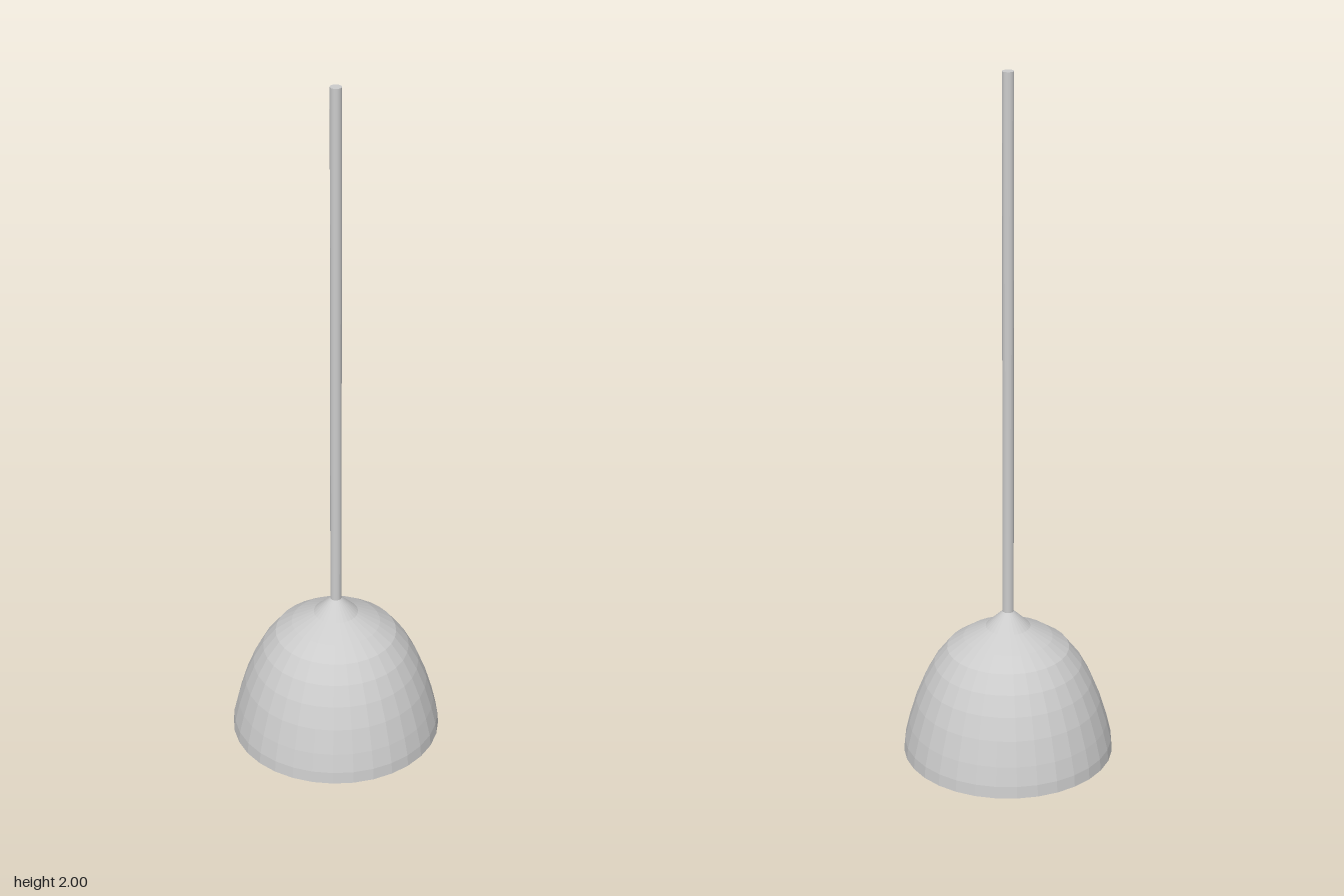
import * as THREE from 'three';

export function createModel() {
  const group = new THREE.Group();
  const material = new THREE.MeshStandardMaterial({
    color: 0xcccccc, flatShading: true, side: THREE.DoubleSide,
  });
  const add = (name, geometry) => {
    const mesh = new THREE.Mesh(geometry, material);
    mesh.name = name;
    group.add(mesh);
    return mesh;
  };

  // Bell shade: one closed profile, inner wall up from the centre, round the rim, outer wall to the neck
  const inner = [[0, 0.375], [0.05, 0.363], [0.115, 0.333], [0.158, 0.295], [0.19, 0.25],
    [0.217, 0.2], [0.24, 0.145], [0.26, 0.08], [0.273, 0.03], [0.277, 0]];
  const outer = [[0.303, 0], [0.3, 0.035], [0.287, 0.09], [0.266, 0.16], [0.241, 0.222],
    [0.212, 0.276], [0.175, 0.324], [0.128, 0.357], [0.064, 0.39], [0.016, 0.436], [0, 0.44]];
  const profile = [...inner, ...outer].map(([r, y]) => new THREE.Vector2(r, y));
  add('shade', new THREE.LatheGeometry(profile, 32));

  // Straight hanging rod from the neck to the top
  const bottom = 0.42, top = 2;
  const rod = add('rod', new THREE.CylinderGeometry(0.016, 0.016, top - bottom, 32));
  rod.position.y = (top + bottom) / 2;

  return group;
}
